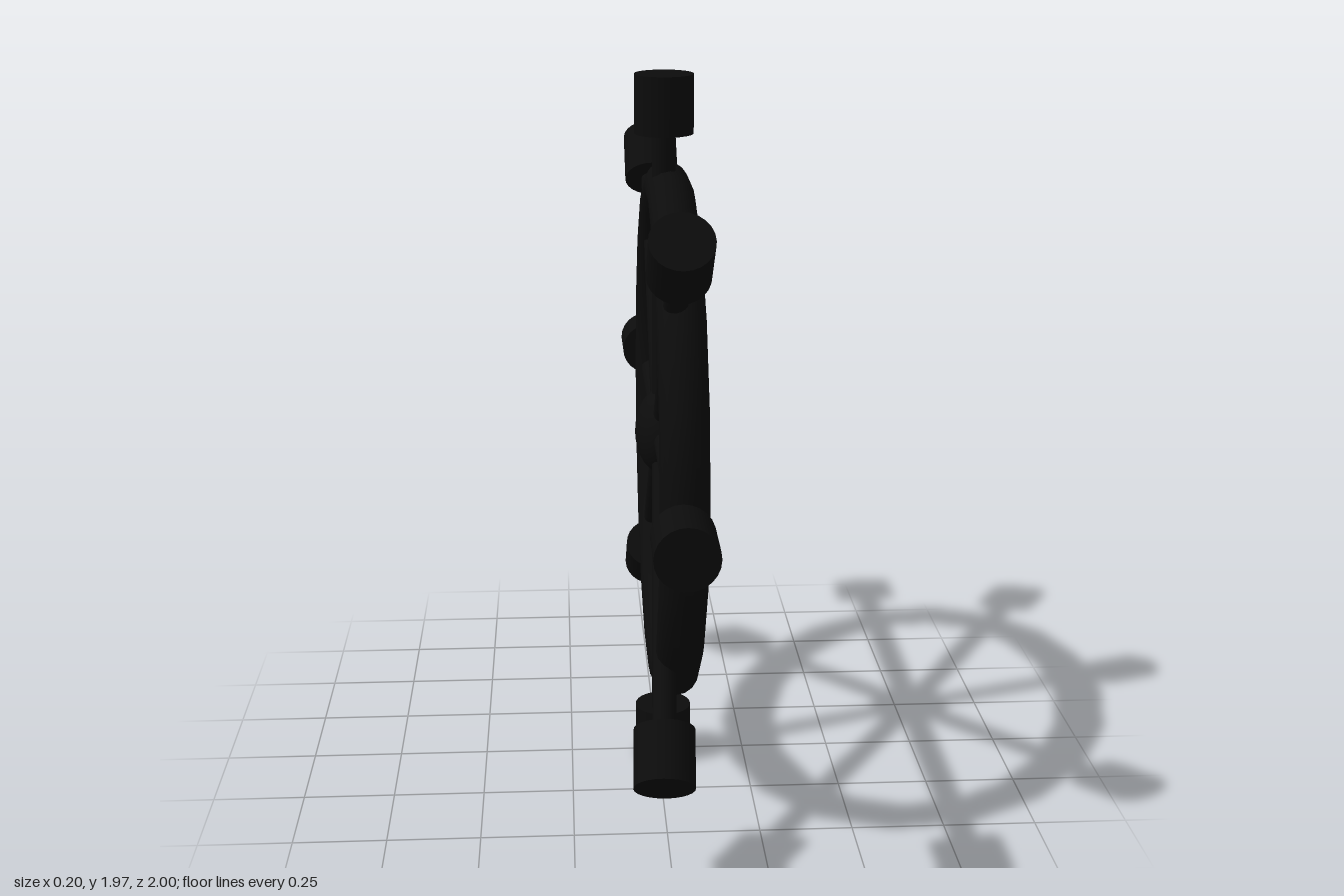
import * as THREE from 'three';

export function createModel() {
  const wheel = new THREE.Group();
  wheel.name = 'shipWheel';
  const black = new THREE.MeshStandardMaterial({ color: 0x0c0c0c });
  black.name = 'black';

  const add = (geometry, name) => {
    const mesh = new THREE.Mesh(geometry, black);
    mesh.name = name;
    wheel.add(mesh);
    return mesh;
  };

  // Eighteen-sided rim standing in the y-z plane
  const rim = add(new THREE.TorusGeometry(0.675, 0.062, 16, 18), 'rim');
  rim.rotation.y = Math.PI / 2;
  rim.position.set(0.03, 0.995, 0.016);

  // Flattened round hub
  const centre = new THREE.Vector3(0.015, 0.99, 0.02);
  const hub = add(new THREE.SphereGeometry(0.12, 24, 16), 'hub');
  hub.scale.x = 0.65;
  hub.position.copy(centre);

  // Handle centres, slightly uneven as on a hand-made wheel
  const handles = [
    [0.015, 1.896, 0.042],
    [0.015, 1.62, 0.715],
    [0.015, 0.982, 0.921],
    [-0.02, 0.332, 0.705],
    [0.015, 0.085, 0.027],
    [0.015, 0.367, -0.673],
    [0.015, 1.003, -0.92],
    [0.015, 1.651, -0.643],
  ];
  const up = new THREE.Vector3(0, 1, 0);
  const handleShape = new THREE.CylinderGeometry(0.079, 0.079, 0.156, 24);

  for (const p of handles) {
    const end = new THREE.Vector3(...p);
    const along = end.clone().sub(centre);
    const length = along.length();
    const turn = new THREE.Quaternion().setFromUnitVectors(up, along.normalize());

    const spoke = add(new THREE.CylinderGeometry(0.031, 0.031, length, 16), 'spoke');
    spoke.position.lerpVectors(centre, end, 0.5);
    spoke.quaternion.copy(turn);

    const handle = add(handleShape, 'handle');
    handle.position.copy(end);
    handle.quaternion.copy(turn);
  }
  return wheel;
}
